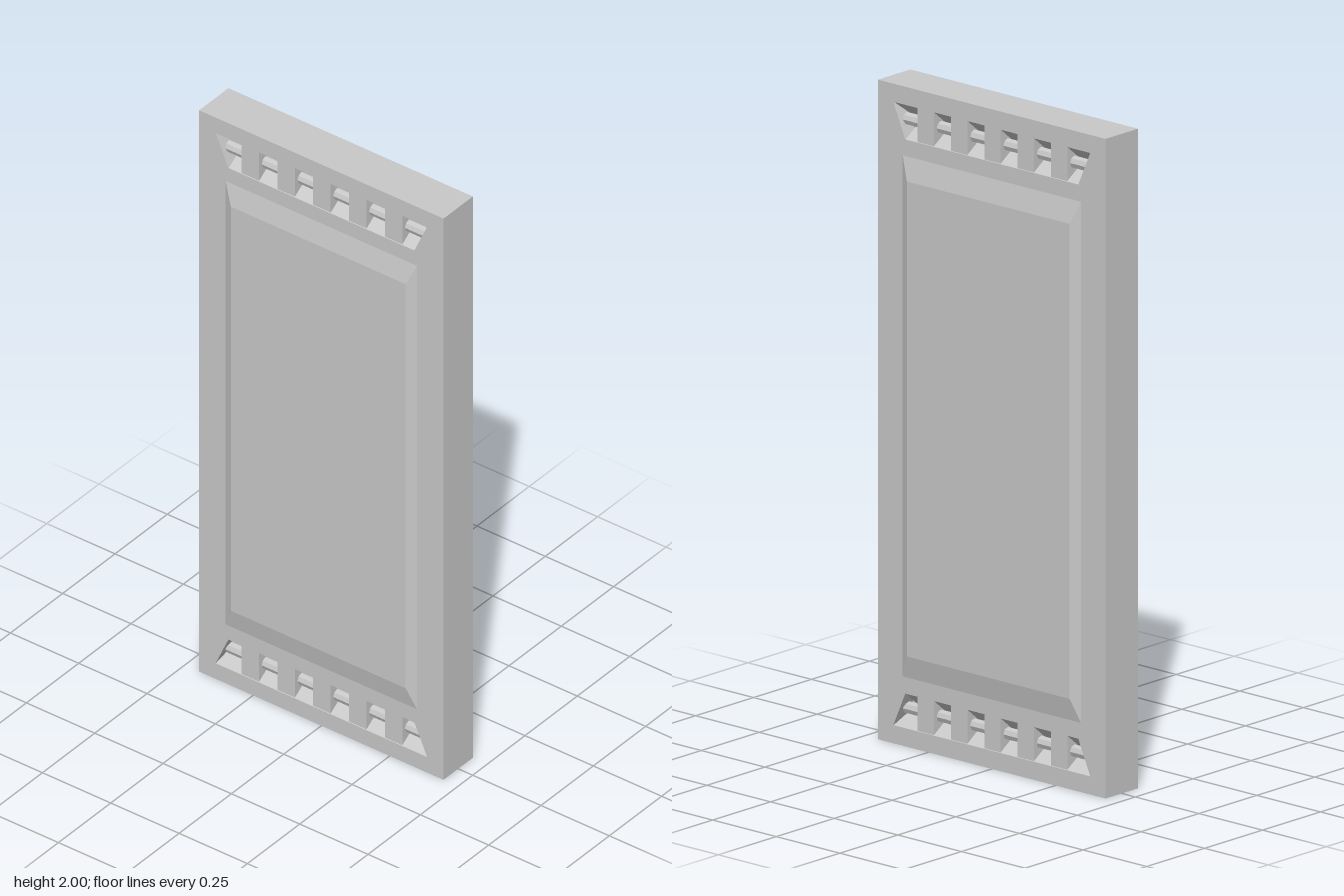
import * as THREE from 'three';

const W = 0.447, FRONT = 0.07, FLOOR = 0.02;
const stone = new THREE.MeshStandardMaterial({ color: 0xc8c8c8, flatShading: true });
stone.name = 'plain grey';

function part(name, geometry, parent, x = 0, y = 0, z = 0) {
  const mesh = new THREE.Mesh(geometry, stone);
  mesh.name = name;
  mesh.position.set(x, y, z);
  parent.add(mesh);
  return mesh;
}

// Closed outline from [x, y] pairs
const outline = (pts, Type = THREE.Shape) => new Type(pts.map(([x, y]) => new THREE.Vector2(x, y)));

// Prism along x from a [z, y] section
function prismX(section, length) {
  const g = new THREE.ExtrudeGeometry(outline(section.map(([z, y]) => [-z, y])), { depth: length, bevelEnabled: false });
  return g.translate(0, 0, -length / 2).rotateY(Math.PI / 2);
}

// Vent slots: bottom and top heights with their half widths
const vents = [
  { name: 'lowerVent', y0: 0.055, y1: 0.16, w0: 0.387, w1: 0.34 },
  { name: 'upperVent', y0: 1.84, y1: 1.945, w0: 0.34, w1: 0.387 },
];

// Face plate pierced by the two slots
function facePlate() {
  const shape = outline([[-W, 0], [W, 0], [W, 2], [-W, 2]]);
  for (const { y0, y1, w0, w1 } of vents)
    shape.holes.push(outline([[-w0, y0], [-w1, y1], [w1, y1], [w0, y0]], THREE.Path));
  return new THREE.ExtrudeGeometry(shape, { depth: FRONT - FLOOR, bevelEnabled: false }).translate(0, 0, FLOOR);
}

// Raised field with bevelled edges
function raisedPanel() {
  const g = new THREE.BoxGeometry(0.7, 1.58, 0.015);
  const p = g.attributes.position;
  for (let i = 0; i < p.count; i++) {
    if (p.getZ(i) > 0) p.setXY(i, Math.sign(p.getX(i)) * 0.32, Math.sign(p.getY(i)) * 0.72);
  }
  return g;
}

// Sloped ceiling and floor, horizontal rail and upright teeth
function buildVent({ name, y0, y1, w0, w1 }) {
  const vent = new THREE.Group();
  vent.name = name;
  const mid = (y0 + y1) / 2;
  part('ventCeiling', prismX([[FLOOR, y1], [FLOOR, y1 - 0.04], [FRONT - 0.002, y1]], 2 * w1), vent);
  part('ventFloor', prismX([[FLOOR, y0], [FRONT - 0.002, y0], [FLOOR, y0 + 0.032]], 2 * w0), vent);
  const rail = new THREE.CylinderGeometry(0.019, 0.019, w0 + w1, 8).rotateZ(Math.PI / 2);
  part('ventRail', rail, vent, 0, mid, 0.036);
  for (let i = -2; i <= 2; i++)
    part('ventTooth', new THREE.BoxGeometry(0.064, y1 - y0, FRONT - FLOOR - 0.003), vent, i * 0.131, mid, (FRONT + FLOOR - 0.003) / 2);
  return vent;
}

export function createModel() {
  const model = new THREE.Group();
  model.name = 'slab';
  part('core', new THREE.BoxGeometry(2 * W, 2, 2 * FLOOR), model, 0, 1, 0);

  // Identical front and back sides
  ['frontSide', 'backSide'].forEach((name, i) => {
    const side = new THREE.Group();
    side.name = name;
    side.rotation.y = i * Math.PI;
    part('facePlate', facePlate(), side);
    part('raisedPanel', raisedPanel(), side, 0, 1, FRONT + 0.0075);
    for (const v of vents) side.add(buildVent(v));
    model.add(side);
  });
  return model;
}
